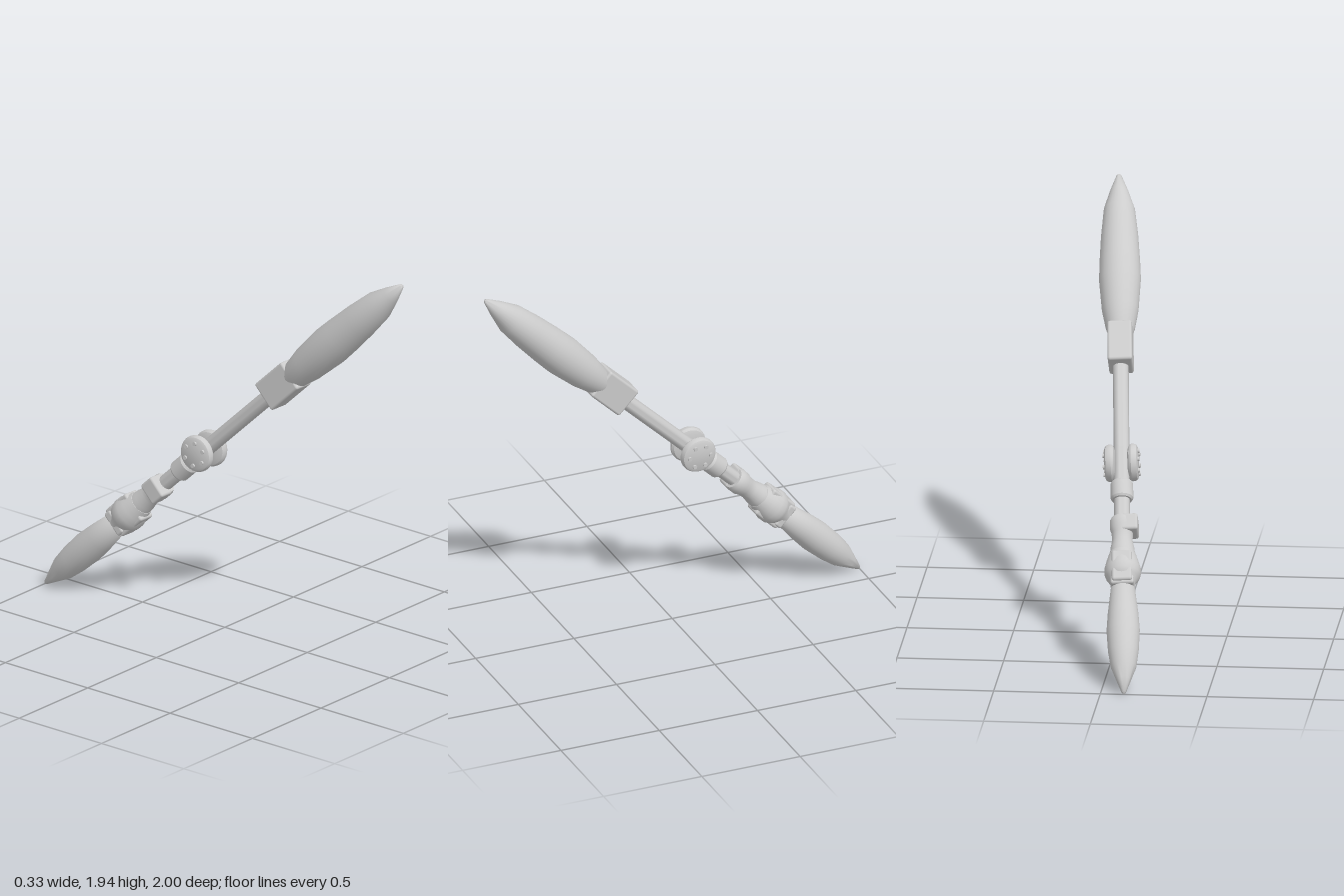
import * as THREE from 'three';
import { toCreasedNormals } from 'three/addons/utils/BufferGeometryUtils.js';
import { RoundedBoxGeometry } from 'three/addons/geometries/RoundedBoxGeometry.js';

const grey = new THREE.MeshStandardMaterial({ color: 0xcccccc });
grey.name = 'plain grey';

function add(parent, name, geometry, x = 0, y = 0, z = 0) {
  const mesh = new THREE.Mesh(geometry, grey);
  mesh.name = name;
  mesh.position.set(x, y, z);
  parent.add(mesh);
  return mesh;
}

// Turned solid from [radius, height] pairs, listed upwards
function turned(points, sides = 24, crease = 0.6) {
  const lathe = new THREE.LatheGeometry(points.map(([r, h]) => new THREE.Vector2(r, h)), sides);
  return toCreasedNormals(lathe, crease);
}

function box(w, h, d, r = 0.012) {
  return new RoundedBoxGeometry(w, h, d, 2, r);
}

export function createModel() {
  const model = new THREE.Group();
  model.name = 'doubleBladedWeapon';

  // Everything is built along a straight tilted axis, lower tip at the origin
  const start = new THREE.Vector3(-0.11, 0, -1);
  const axis = new THREE.Vector3(0.1, 1.94, 1).sub(start).normalize();
  const side = new THREE.Vector3(1, 0, 0);
  side.addScaledVector(axis, -side.dot(axis)).normalize();
  const front = new THREE.Vector3().crossVectors(side, axis);
  const staff = new THREE.Group();
  staff.name = 'staff';
  staff.quaternion.setFromRotationMatrix(new THREE.Matrix4().makeBasis(side, axis, front));
  staff.position.copy(start);
  model.add(staff);

  // Long upper blade
  add(staff, 'upperBlade', turned([
    [0, 1.9], [0.05, 1.91], [0.068, 1.96], [0.086, 2.06], [0.098, 2.22], [0.095, 2.32],
    [0.087, 2.46], [0.073, 2.6], [0.042, 2.7], [0.011, 2.783], [0, 2.79],
  ], 24, 1));

  // Short lower blade
  add(staff, 'lowerBlade', turned([
    [0, 0], [0.01, 0.007], [0.035, 0.075], [0.06, 0.145], [0.072, 0.23],
    [0.078, 0.34], [0.072, 0.43], [0.056, 0.57], [0, 0.6],
  ], 24, 1));

  // Shaft and the block that grips the upper blade
  add(staff, 'shaft', turned([[0, 0.58], [0.037, 0.58], [0.037, 1.8], [0, 1.8]]));
  add(staff, 'bladeSocket', box(0.115, 0.21, 0.15), 0, 1.86, -0.004);

  // Pair of round plates with a ring of bolts on each outer face
  for (const s of [-1, 1]) {
    const hub = new THREE.Group();
    hub.name = s < 0 ? 'rightJointPlate' : 'leftJointPlate';
    hub.position.set(0, 1.24, 0);
    hub.rotation.z = -s * Math.PI / 2;
    staff.add(hub);
    add(hub, 'plate', turned([
      [0, 0.03], [0.062, 0.03], [0.08, 0.036], [0.088, 0.047],
      [0.088, 0.06], [0.082, 0.072], [0.07, 0.078], [0, 0.078],
    ], 28));
    for (let i = 0; i < 6; i++) {
      const a = i * Math.PI / 3 + 0.3;
      add(hub, 'bolt', new THREE.CylinderGeometry(0.01, 0.011, 0.016, 10),
        0.055 * Math.cos(a), 0.078, 0.055 * Math.sin(a));
    }
  }

  // Collar below the joint
  add(staff, 'collar', turned([
    [0, 1.04], [0.046, 1.04], [0.053, 1.05], [0.053, 1.125], [0.046, 1.135], [0, 1.135],
  ]));

  // Waisted sleeve with an offset block
  add(staff, 'sleeve', turned([
    [0, 0.73], [0.06, 0.74], [0.056, 0.78], [0.048, 0.82], [0.05, 0.86],
    [0.058, 0.885], [0.058, 0.925], [0.05, 0.94], [0, 0.94],
  ]));
  add(staff, 'sideBlock', box(0.08, 0.085, 0.11), -0.035, 0.9, 0.002);

  // Flared guard with a rectangular core showing at front and back
  add(staff, 'guard', turned([
    [0, 0.565], [0.055, 0.565], [0.06, 0.595], [0.078, 0.62], [0.085, 0.64],
    [0.085, 0.67], [0.076, 0.705], [0.06, 0.755], [0, 0.76],
  ]));
  add(staff, 'guardCore', box(0.095, 0.16, 0.15), 0, 0.655, 0);
  add(staff, 'guardRim', box(0.11, 0.045, 0.125), 0, 0.585, 0);

  return model;
}
